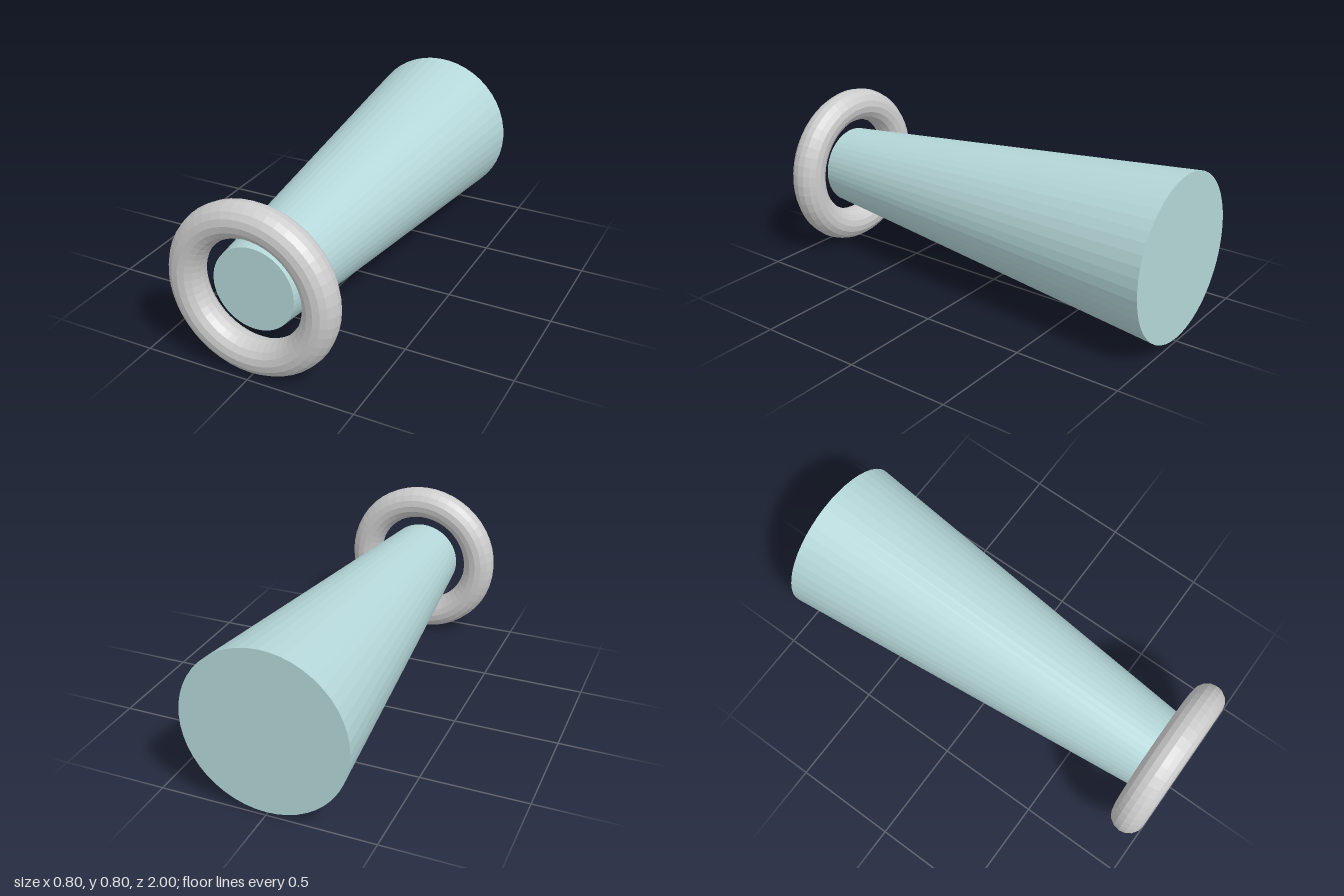
import * as THREE from 'three';

const AXIS_Y = 0.4;   // height of the shared centre line
const RING_Z = 0.92;  // the ring's middle plane, where the narrow end stops

export function createModel() {
  const model = new THREE.Group();
  model.name = 'taperedBarrelWithRing';

  const add = (name, geometry, color, z) => {
    const material = new THREE.MeshStandardMaterial({ color, flatShading: true });
    const mesh = new THREE.Mesh(geometry, material);
    mesh.name = name;
    mesh.position.set(0, AXIS_Y, z);
    model.add(mesh);
  };

  // Solid tapered barrel, narrow end forward
  const length = RING_Z + 1;
  const barrel = new THREE.CylinderGeometry(0.192, 0.384, length, 48).rotateX(Math.PI / 2);
  add('barrel', barrel, 0xb5d7d9, RING_Z - length / 2);

  // Loose ring around the narrow end
  add('ring', new THREE.TorusGeometry(0.32, 0.08, 16, 48), 0xcccccc, RING_Z);

  return model;
}
